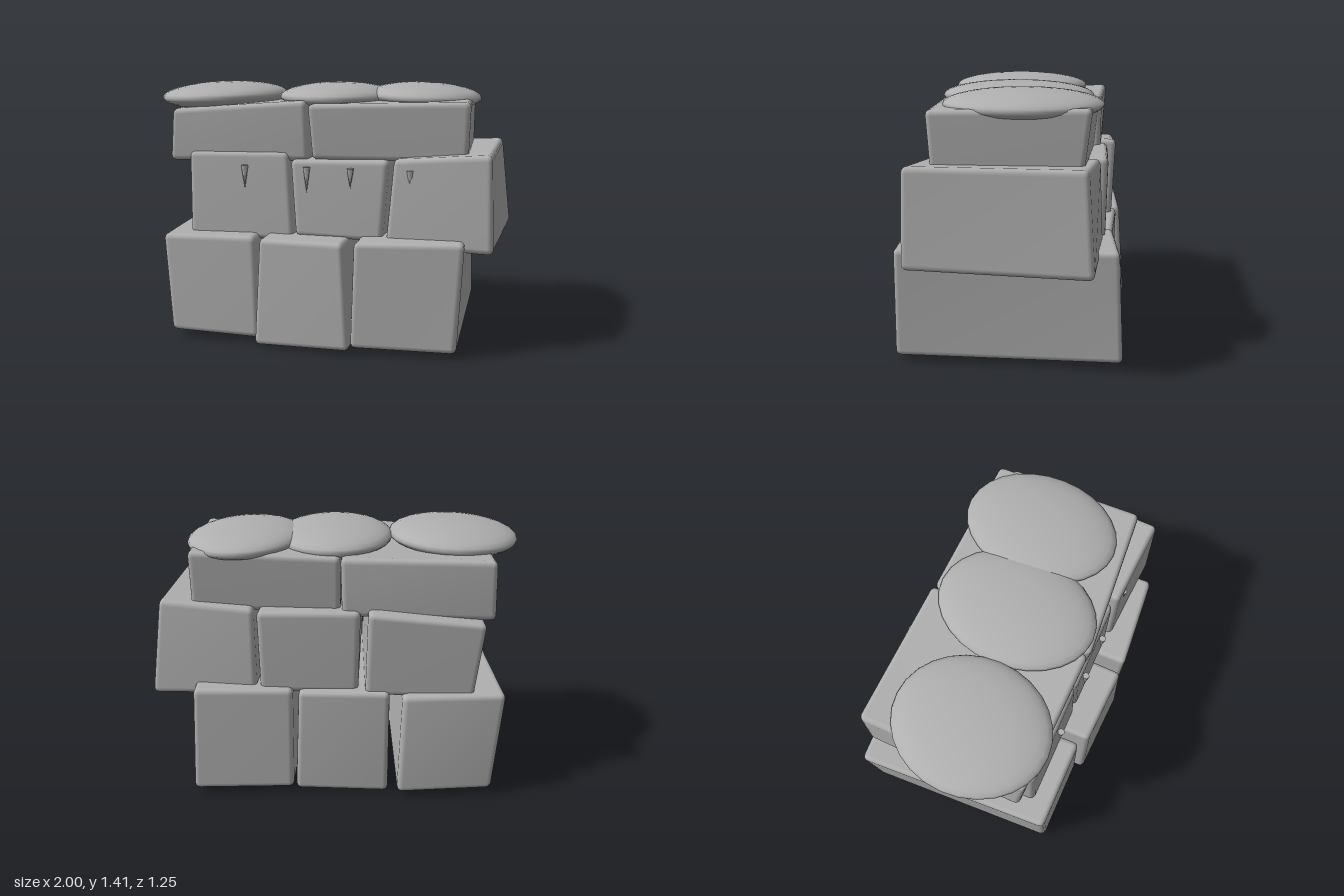
import * as THREE from 'three';
import { mergeVertices } from 'three/addons/utils/BufferGeometryUtils.js';
import { RoundedBoxGeometry } from 'three/addons/geometries/RoundedBoxGeometry.js';

const stone = new THREE.MeshStandardMaterial({ color: 0xb0b0b0 });
stone.name = 'stoneGrey';

// Bevelled block bent to eight corners.
// Corner order: bottom then top, each front left, front right, back left, back right (as seen from the front).
function block(name, corners) {
  const c = corners.map((p) => new THREE.Vector3(...p));
  const w = c[0].distanceTo(c[1]);
  const h = c[0].distanceTo(c[4]);
  const d = c[0].distanceTo(c[2]);
  const raw = new RoundedBoxGeometry(w, h, d, 2, 0.03);
  raw.deleteAttribute('normal');
  raw.deleteAttribute('uv');
  raw.clearGroups();
  const geo = mergeVertices(raw, 1e-4);
  const pos = geo.attributes.position;
  const out = new THREE.Vector3();
  for (let i = 0; i < pos.count; i++) {
    const u = pos.getX(i) / w + 0.5;
    const v = pos.getY(i) / h + 0.5;
    const t = 0.5 - pos.getZ(i) / d;
    out.set(0, 0, 0);
    c.forEach((p, k) => {
      const wx = k & 1 ? u : 1 - u;
      const wz = k & 2 ? t : 1 - t;
      const wy = k & 4 ? v : 1 - v;
      out.addScaledVector(p, wx * wy * wz);
    });
    pos.setXYZ(i, out.x, out.y, out.z);
  }
  geo.computeVertexNormals();
  const mesh = new THREE.Mesh(geo, stone);
  mesh.name = name;
  return mesh;
}

// Flattened snow cap
function mound(name, x, y, z, rx, ry, rz, tilt) {
  const mesh = new THREE.Mesh(new THREE.SphereGeometry(1, 28, 16), stone);
  mesh.scale.set(rx, ry, rz);
  mesh.position.set(x, y, z);
  mesh.rotation.z = tilt;
  mesh.name = name;
  return mesh;
}

export function createModel() {
  const model = new THREE.Group();
  model.name = 'snowyStoneWall';

  // Bottom course
  model.add(
    block('bottomBlockLeft', [
      [-0.81, 0.04, 0.56], [-0.30, 0.03, 0.56], [-0.87, 0.04, -0.56], [-0.35, 0.04, -0.63],
      [-0.85, 0.59, 0.55], [-0.32, 0.60, 0.55], [-0.92, 0.61, -0.56], [-0.37, 0.60, -0.59]]),
    block('bottomBlockMiddle', [
      [-0.31, 0.01, 0.61], [0.22, 0.02, 0.63], [-0.30, 0.00, -0.55], [0.21, 0.01, -0.56],
      [-0.28, 0.60, 0.59], [0.18, 0.60, 0.61], [-0.30, 0.61, -0.57], [0.19, 0.60, -0.55]]),
    block('bottomBlockRight', [
      [0.22, 0.03, 0.60], [0.78, 0.03, 0.57], [0.22, 0.03, -0.58], [0.77, 0.03, -0.62],
      [0.24, 0.61, 0.61], [0.81, 0.62, 0.56], [0.22, 0.61, -0.55], [0.75, 0.62, -0.59]]));

  // Middle course
  model.add(
    block('middleBlockLeft', [
      [-0.73, 0.57, 0.44], [-0.13, 0.56, 0.44], [-0.75, 0.58, -0.53], [-0.17, 0.58, -0.54],
      [-0.73, 1.04, 0.43], [-0.16, 1.05, 0.43], [-0.80, 0.99, -0.54], [-0.18, 1.05, -0.56]]),
    block('middleBlockMiddle', [
      [-0.12, 0.59, 0.44], [0.36, 0.58, 0.44], [-0.13, 0.58, -0.50], [0.40, 0.58, -0.51],
      [-0.15, 1.01, 0.43], [0.39, 1.02, 0.43], [-0.14, 1.04, -0.51], [0.41, 1.04, -0.52]]),
    block('middleBlockRight', [
      [0.38, 0.56, 0.46], [0.95, 0.55, 0.49], [0.42, 0.56, -0.50], [1.00, 0.54, -0.47],
      [0.42, 1.03, 0.45], [0.93, 1.07, 0.48], [0.43, 1.04, -0.48], [0.94, 1.07, -0.43]]));

  // Top course
  model.add(
    block('topBlockLeft', [
      [-0.86, 0.98, 0.40], [-0.05, 1.00, 0.41], [-0.85, 0.99, -0.47], [-0.04, 1.00, -0.47],
      [-0.83, 1.27, 0.42], [-0.06, 1.33, 0.44], [-0.84, 1.32, -0.49], [-0.03, 1.32, -0.47]]),
    block('topBlockRight', [
      [-0.03, 1.01, 0.42], [0.80, 1.01, 0.36], [-0.03, 1.01, -0.43], [0.77, 1.01, -0.40],
      [-0.05, 1.31, 0.45], [0.81, 1.33, 0.38], [-0.03, 1.32, -0.46], [0.77, 1.34, -0.44]]));

  // Snow caps
  model.add(
    mound('snowCapLeft', -0.645, 1.33, 0.05, 0.36, 0.083, 0.415, 0.03),
    mound('snowCapMiddle', 0.02, 1.333, 0, 0.325, 0.08, 0.43, 0),
    mound('snowCapRight', 0.51, 1.335, -0.075, 0.32, 0.078, 0.42, -0.04));

  // Icicles hanging on the middle course
  [[-0.40, 0.45, 0.13], [-0.05, 0.45, 0.14], [0.19, 0.45, 0.11], [0.51, 0.452, 0.10]].forEach(([x, z, len], i) => {
    const cone = new THREE.Mesh(new THREE.ConeGeometry(0.02, len, 6), stone);
    cone.rotation.x = Math.PI;
    cone.position.set(x, 0.975 - len / 2, z);
    cone.name = 'icicle' + (i + 1);
    model.add(cone);
  });

  return model;
}
